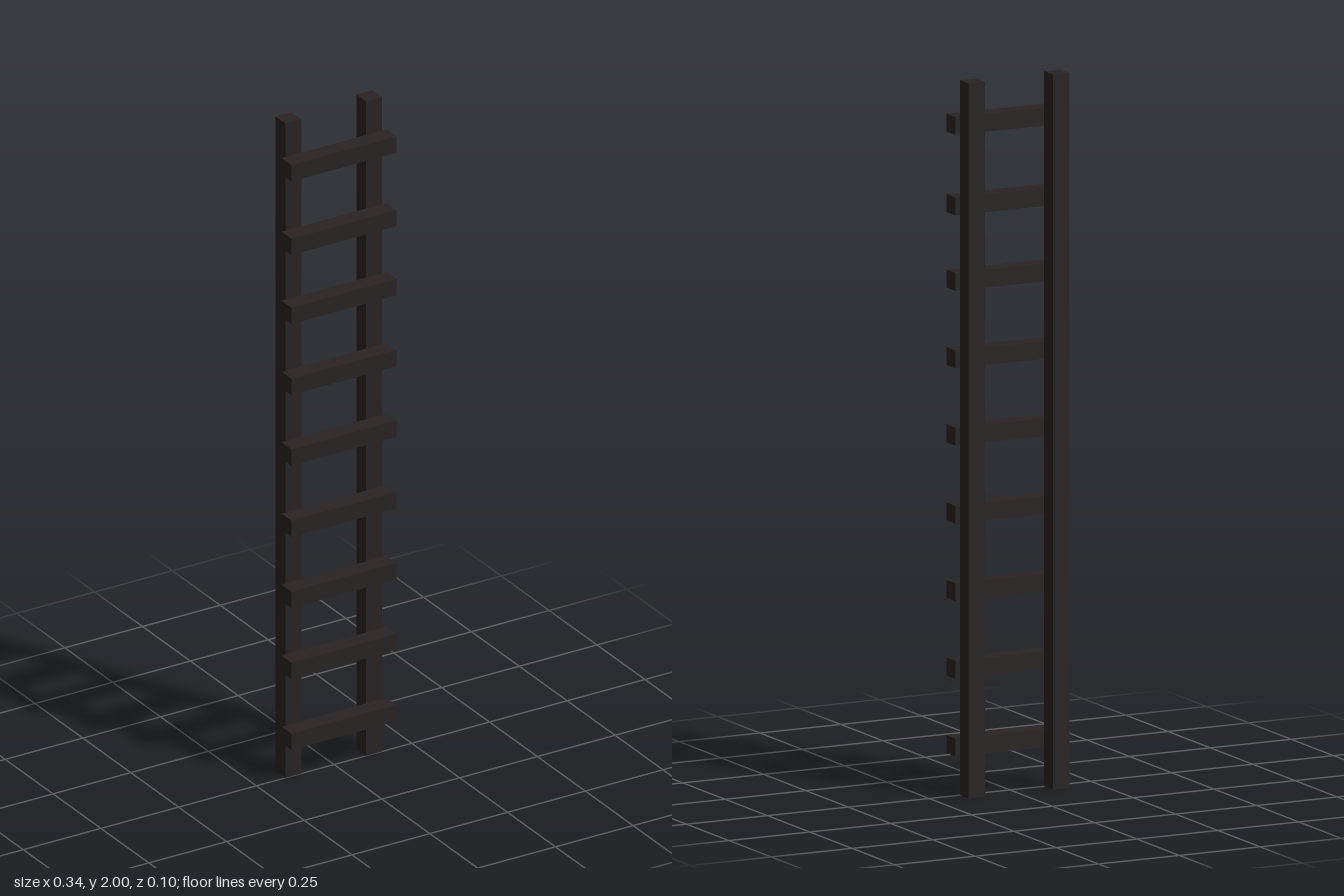
import * as THREE from 'three';

export function createModel() {
  const group = new THREE.Group();
  const wood = new THREE.MeshStandardMaterial({ color: 0x2a2323 });

  const addBeam = (name, size, position) => {
    const beam = new THREE.Mesh(new THREE.BoxGeometry(...size), wood);
    beam.name = name;
    beam.position.set(...position);
    group.add(beam);
  };

  // Two upright rails at the back
  addBeam('leftRail', [0.051, 2, 0.051], [0.129, 1, -0.0255]);
  addBeam('rightRail', [0.051, 2, 0.051], [-0.131, 1, -0.0255]);

  // Rungs fixed across the front of the rails, spaced slightly unevenly
  const rungHeights = [0.135, 0.352, 0.569, 0.786, 1.004, 1.22, 1.437, 1.648, 1.873];
  rungHeights.forEach((y, i) => {
    addBeam(`rung${i + 1}`, [0.338, 0.05, 0.051], [0, y, 0.0255]);
  });

  return group;
}
